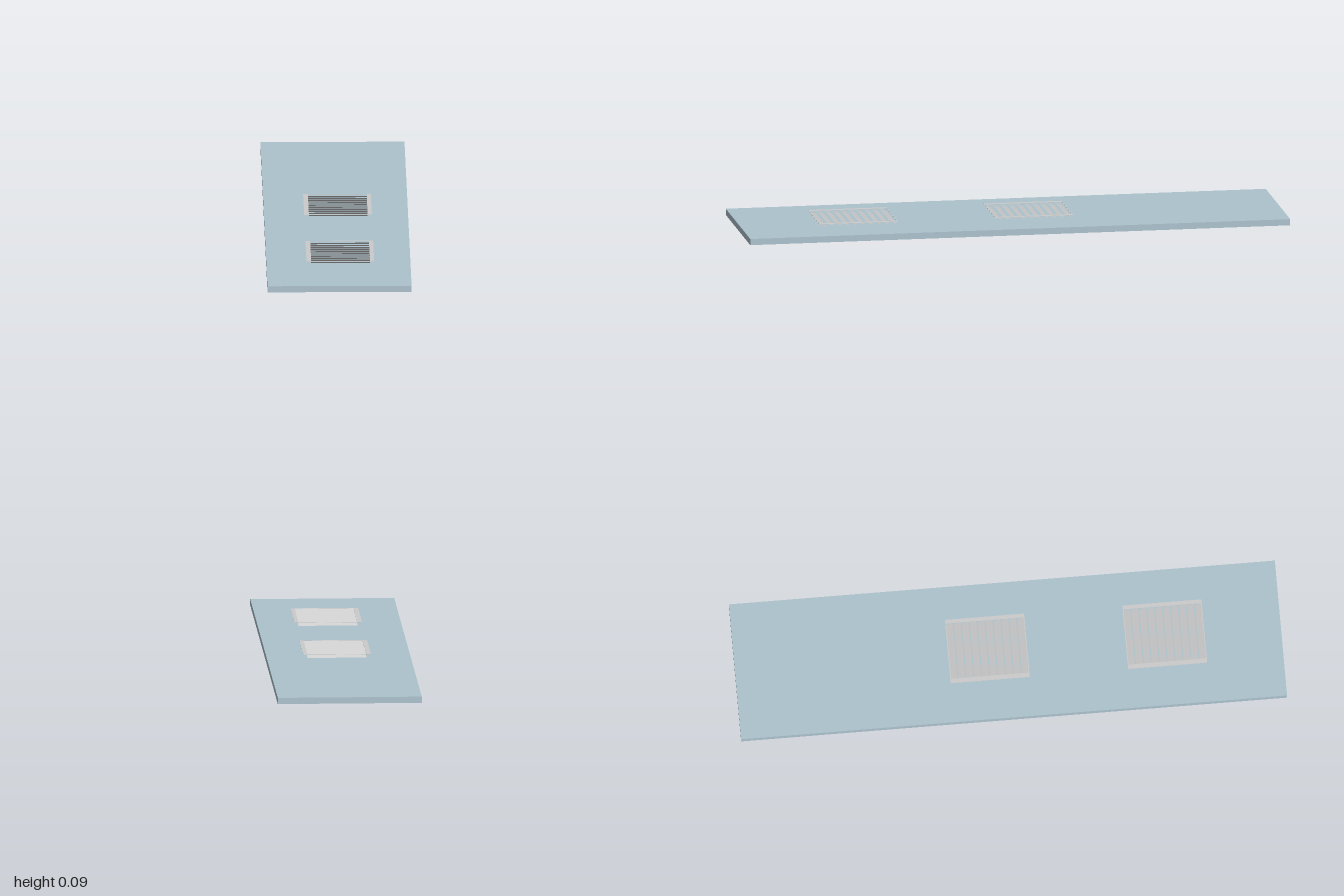
import * as THREE from 'three';

const panelMaterial = new THREE.MeshStandardMaterial({ color: 0xadc2cd });
const greyMaterial = new THREE.MeshStandardMaterial({ color: 0xcccccc, side: THREE.DoubleSide });

function box(name, size, position, material) {
  const mesh = new THREE.Mesh(new THREE.BoxGeometry(...size), material);
  mesh.name = name;
  mesh.position.set(...position);
  return mesh;
}

// Louvred vent: thin flat frame with sloping slats hanging below it
function createVent(name, slatLeft, frameY, centreZ) {
  const vent = new THREE.Group();
  vent.name = name;
  const minX = -0.117, maxX = 0.13, length = 0.29, count = 10;
  const slatRight = 0.115, rise = 0.012, run = 0.025;
  const pitch = length / count;
  const slope = Math.atan2(rise, run);

  // Side strips and end bars
  for (const [a, b] of [[minX, slatLeft], [slatRight, maxX]]) {
    vent.add(box('frameSide', [b - a, 0.001, length], [(a + b) / 2, 0, 0], greyMaterial));
  }
  for (const s of [-1, 1]) {
    vent.add(box('frameEnd', [slatRight - slatLeft, 0.001, 0.003],
      [(slatLeft + slatRight) / 2, 0, s * (length / 2 - 0.0015)], greyMaterial));
  }

  // Slats rise towards the front
  for (let i = 0; i < count; i++) {
    const slat = new THREE.Mesh(
      new THREE.PlaneGeometry(slatRight - slatLeft, Math.hypot(rise, run)), greyMaterial);
    slat.name = 'slat';
    slat.rotation.x = -Math.PI / 2 - slope;
    slat.position.set((slatLeft + slatRight) / 2, -rise / 2, (i + 0.5) * pitch - length / 2);
    vent.add(slat);
  }
  vent.position.set(0, frameY, centreZ);
  return vent;
}

export function createModel() {
  const model = new THREE.Group();
  model.name = 'louvredDoor';

  // Door leaf lying flat
  model.add(box('doorPanel', [0.526, 0.023, 2], [0, 0.0635, 0], panelMaterial));

  // Two vents on each face
  for (const z of [-0.075, 0.575]) {
    model.add(createVent('upperVent', -0.1, 0.0905, z));
    model.add(createVent('lowerVent', -0.111, 0.043, z));
  }

  // T-shaped handle under the door
  const handle = new THREE.Group();
  handle.name = 'handle';
  handle.add(box('handleStem', [0.009, 0.034, 0.011], [-0.2005, 0.035, -0.193], panelMaterial));
  handle.add(box('handleGrip', [0.009, 0.018, 0.064], [-0.2005, 0.009, -0.192], panelMaterial));
  model.add(handle);

  return model;
}
